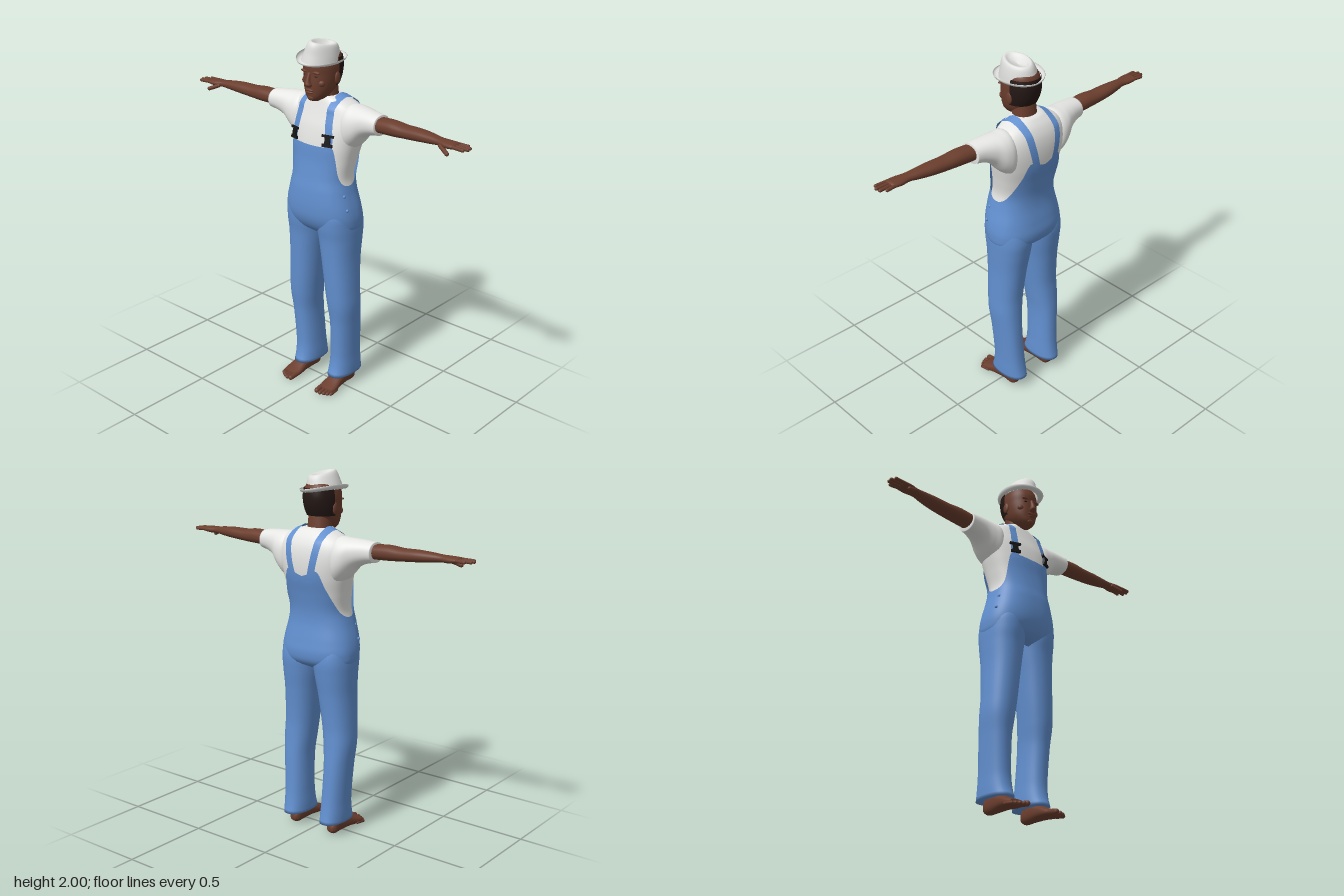
import * as THREE from 'three';
import { mergeVertices } from 'three/addons/utils/BufferGeometryUtils.js';

const paint = (name, color) => Object.assign(new THREE.MeshStandardMaterial({ color, side: THREE.DoubleSide }), { name });

// Smooth lookup in rows [t, a, b, ...]: returns the interpolated [a, b, ...]
function at(rows, t) {
  let i = 0;
  while (i < rows.length - 2 && t > rows[i + 1][0]) i++;
  const r0 = rows[i], r1 = rows[i + 1], rp = rows[Math.max(i - 1, 0)], rn = rows[Math.min(i + 2, rows.length - 1)];
  const h = r1[0] - r0[0], u = THREE.MathUtils.clamp((t - r0[0]) / h, 0, 1), u2 = u * u, u3 = u2 * u;
  return r0.slice(1).map((a, k) => {
    const b = r1[k + 1];
    const m0 = ((b - rp[k + 1]) / (r1[0] - rp[0])) * h, m1 = ((rn[k + 1] - a) / (rn[0] - r0[0])) * h;
    return (2 * u3 - 3 * u2 + 1) * a + (u3 - 2 * u2 + u) * m0 + (3 * u2 - 2 * u3) * b + (u3 - u2) * m1;
  });
}

// Smooth surface from a rule f(u, v); s = -1 mirrors it in x
function grid(f, nu, nv, s = 1) {
  const pos = [], idx = [];
  for (let j = 0; j <= nv; j++) for (let i = 0; i <= nu; i++) {
    const [x, y, z] = f(i / nu, j / nv);
    pos.push(x * s, y, z);
    if (i < nu && j < nv) {
      const a = j * (nu + 1) + i, b = a + 1, c = a + nu + 1, d = c + 1;
      idx.push(...(s > 0 ? [a, b, d, a, d, c] : [a, d, b, a, c, d]));
    }
  }
  let g = new THREE.BufferGeometry();
  g.setAttribute('position', new THREE.Float32BufferAttribute(pos, 3));
  g.setIndex(idx);
  g = mergeVertices(g, 1e-5);
  g.computeVertexNormals();
  return g;
}

// Point on a rounded cross-section; rows are [t, pMin, pMax, qMin, qMax]
function ring(rows, axis, angle, t, n, off = 0, shrink = 1) {
  const [p0, p1, q0, q1] = at(rows, t);
  const pw = (c) => Math.sign(c) * Math.pow(Math.abs(c), 2 / n);
  const p = (p0 + p1) / 2 + ((p1 - p0) / 2 + off) * shrink * pw(Math.cos(angle));
  const q = (q0 + q1) / 2 + ((q1 - q0) / 2 + off) * shrink * pw(Math.sin(angle));
  return axis === 'y' ? [q, t, p] : axis === 'x' ? [t, p, q] : [p, q, t];
}

// Closed loft along an axis
function loft(rows, axis, { n = 2.2, nu = 40, nv = 40, s = 1 } = {}) {
  const t0 = rows[0][0], t1 = rows[rows.length - 1][0];
  return grid((u, v) => {
    const k = Math.round(v * (nv + 2)) - 1;
    const end = k < 0 || k > nv;
    return ring(rows, axis, Math.round(u * nu) % nu / nu * Math.PI * 2, t0 + (t1 - t0) * THREE.MathUtils.clamp(k / nv, 0, 1), n, 0, end ? 0 : 1);
  }, nu, nv + 2, s);
}

// Torso cross-sections: y, back z, front z, x range
const wide = (y, zb, zf, w) => [y, zb, zf, -w, w];
const TORSO = [
  wide(0.94, -0.07, 0.05, 0.15), wide(0.975, -0.135, 0.095, 0.2), wide(1.03, -0.155, 0.125, 0.212),
  wide(1.1, -0.148, 0.135, 0.205), wide(1.2, -0.132, 0.13, 0.18), wide(1.27, -0.132, 0.118, 0.168),
  wide(1.36, -0.148, 0.105, 0.182), wide(1.45, -0.168, 0.098, 0.203), wide(1.54, -0.174, 0.082, 0.222),
  wide(1.61, -0.165, 0.06, 0.215), wide(1.66, -0.143, 0.045, 0.18), wide(1.685, -0.122, 0.038, 0.125),
  wide(1.705, -0.1, 0.03, 0.078)];
const TN = 2.4;
function torsoZ(x, y, front) {
  const [zb, zf, , w] = at(TORSO, y);
  const k = Math.pow(Math.max(0, 1 - Math.pow(Math.abs(x) / w, TN)), 1 / TN);
  return (zb + zf) / 2 + (front ? 1 : -1) * (zf - zb) / 2 * k;
}

export function createModel() {
  const model = new THREE.Group();
  model.name = 'man';
  const skin = paint('skin', 0x6b3e2e), denim = paint('denim', 0x6290d0), cotton = paint('cotton', 0xe6e6e4);
  const felt = paint('felt', 0xdededc), hair = paint('hair', 0x241815), black = paint('black', 0x161616);
  const add = (name, geo, mat, parent = model) => {
    const m = new THREE.Mesh(geo, mat);
    m.name = name;
    parent.add(m);
    return m;
  };
  const ball = (name, mat, p, r) => {
    const m = add(name, new THREE.SphereGeometry(1, 16, 12), mat);
    m.position.set(...p);
    m.scale.set(...r);
  };
  const rod = (name, mat, a, b, r) => {
    const A = new THREE.Vector3(...a), B = new THREE.Vector3(...b), d = B.clone().sub(A);
    const m = add(name, new THREE.CapsuleGeometry(r, d.length(), 6, 10), mat);
    m.position.copy(A).add(B).multiplyScalar(0.5);
    m.quaternion.setFromUnitVectors(new THREE.Vector3(0, 1, 0), d.normalize());
  };

  // Shirt body, and overalls that follow it up to a curved bib line
  add('shirtBody', loft(TORSO.slice(4), 'y', { n: TN, nu: 64 }), cotton);
  const bibLine = [[0, 1.45], [0.5, 1.453], [0.64, 1.45], [0.77, 1.4], [1.0, 1.31], [1.25, 1.255], [1.57, 1.235],
    [1.9, 1.26], [2.2, 1.32], [2.5, 1.4], [2.75, 1.49], [2.95, 1.48], [3.15, 1.46]];
  add('overallsBody', grid((u, v) => {
    const a = (u - 0.5) * Math.PI * 2, top = at(bibLine, Math.abs(a))[0];
    return ring(TORSO, 'y', a, 0.94 + (top - 0.94) * v, TN, 0.011);
  }, 96, 44), denim);

  // Neck and head
  add('neck', loft([wide(1.62, -0.09, 0.025, 0.068), wide(1.7, -0.085, 0.035, 0.065), wide(1.8, -0.075, 0.05, 0.06)], 'y'), skin);
  const HEAD = [wide(1.683, 0.035, 0.085, 0.02), wide(1.7, -0.01, 0.104, 0.045), wide(1.735, -0.055, 0.11, 0.07),
    wide(1.78, -0.085, 0.113, 0.083), wide(1.83, -0.102, 0.112, 0.089), wide(1.88, -0.105, 0.112, 0.089),
    wide(1.93, -0.09, 0.09, 0.075), wide(1.955, -0.05, 0.05, 0.04)];
  add('head', loft(HEAD, 'y'), skin);
  add('hair', grid((u, v) => {
    const a = 1.72 + u * (Math.PI * 2 - 3.44);
    return ring(HEAD, 'y', a, 1.765 + 0.145 * v, 2.2, 0.006);
  }, 32, 12), hair);
  add('nose', loft([[1.763, 0.1, 0.12, -0.012, 0.012], [1.775, 0.1, 0.138, -0.021, 0.021],
    [1.79, 0.1, 0.136, -0.014, 0.014], [1.84, 0.1, 0.117, -0.009, 0.009]], 'y', { nu: 16, nv: 12 }), skin);
  ball('upperLip', skin, [0, 1.748, 0.108], [0.028, 0.007, 0.012]);
  ball('lowerLip', skin, [0, 1.735, 0.106], [0.024, 0.007, 0.012]);
  ball('chin', skin, [0, 1.705, 0.092], [0.026, 0.018, 0.018]);

  // Hat, tipped to one side: crown with a dented top, and a curled brim
  const hat = new THREE.Group();
  hat.name = 'hat';
  hat.position.set(0, 1.895, 0.015);
  hat.rotation.z = -0.13;
  model.add(hat);
  const crown = [[0, -0.005, 0.092, 0.12], [0.25, 0.035, 0.083, 0.108], [0.5, 0.075, 0.07, 0.098], [0.62, 0.092, 0.06, 0.087],
    [0.7, 0.095, 0.05, 0.075], [0.82, 0.083, 0.03, 0.055], [1, 0.07, 0, 0]];
  add('hatCrown', grid((u, v) => {
    const a = u * Math.PI * 2, [y, rx, rz] = at(crown, v), z = rz * Math.cos(a);
    return [rx * Math.sin(a) * (1 - 1.6 * Math.max(0, z) * v), y + 0.2 * z * v - 0.006 * v, z];
  }, 48, 32), felt, hat);
  const brim = [[0, 0, 0], [0.4, 0.5, -0.002], [0.75, 0.9, 0.004], [0.9, 1, 0.012], [1, 0.96, 0.014]];
  add('hatBrim', grid((u, v) => {
    const a = -u * Math.PI * 2, [r, y] = at(brim, v);
    return [(0.088 + 0.026 * r) * Math.sin(a), y - 0.005 + 0.012 * r * Math.sin(a) ** 2 - 0.006 * r * Math.cos(a),
      (0.115 + 0.038 * r) * Math.cos(a)];
  }, 48, 10), felt, hat);

  for (const s of [1, -1]) {
    // Face and ear
    ball('eye', hair, [s * 0.036, 1.823, 0.1], [0.013, 0.005, 0.006]);
    ball('brow', skin, [s * 0.036, 1.843, 0.1], [0.028, 0.008, 0.012]);
    ball('cheek', skin, [s * 0.048, 1.785, 0.076], [0.027, 0.022, 0.02]);
    ball('ear', skin, [s * 0.091, 1.805, -0.008], [0.009, 0.032, 0.02]);

    // Sleeve and arm
    add('sleeve', loft([[0.13, 1.42, 1.655, -0.12, 0.035], [0.17, 1.42, 1.672, -0.148, 0.052], [0.215, 1.46, 1.67, -0.145, 0.048],
      [0.265, 1.515, 1.667, -0.12, 0.04], [0.32, 1.541, 1.662, -0.1, 0.037], [0.372, 1.551, 1.656, -0.088, 0.036]], 'x', { s }), cotton);
    add('arm', loft([[0.34, 1.568, 1.645, -0.075, 0.026], [0.45, 1.57, 1.65, -0.07, 0.03], [0.53, 1.575, 1.643, -0.066, 0.028],
      [0.62, 1.581, 1.643, -0.06, 0.027], [0.7, 1.588, 1.638, -0.046, 0.025], [0.755, 1.594, 1.632, -0.035, 0.026],
      [0.8, 1.593, 1.63, -0.04, 0.038], [0.845, 1.598, 1.628, -0.04, 0.04], [0.858, 1.603, 1.625, -0.036, 0.036]], 'x', { s, nu: 28 }), skin);
    [[-0.032, 0.895], [-0.012, 0.92], [0.01, 0.923], [0.031, 0.91]].forEach(([z, tip]) =>
      rod('finger', skin, [s * 0.84, 1.614, z * 0.95], [s * tip, 1.612, z * 1.1], 0.009));
    rod('thumb', skin, [s * 0.775, 1.603, 0.026], [s * 0.83, 1.58, 0.048], 0.011);

    // Trouser leg
    add('trouserLeg', loft([[0.072, -0.158, 0.082, 0.06, 0.195], [0.12, -0.148, 0.065, 0.06, 0.197], [0.2, -0.138, 0.056, 0.064, 0.198],
      [0.4, -0.125, 0.066, 0.068, 0.21], [0.52, -0.116, 0.082, 0.056, 0.22], [0.62, -0.113, 0.09, 0.044, 0.217], [0.8, -0.128, 0.1, 0.022, 0.212],
      [0.92, -0.145, 0.108, 0.003, 0.216], [1.0, -0.152, 0.12, -0.005, 0.218], [1.08, -0.135, 0.12, 0, 0.21],
      [1.14, -0.1, 0.09, 0.02, 0.17]], 'y', { s, n: 2.3, nv: 60 }), denim);

    // Ankle, foot and toes
    rod('ankle', skin, [s * 0.132, 0.05, -0.055], [s * 0.13, 0.16, -0.05], 0.036);
    add('foot', loft([[-0.105, 0.115, 0.15, 0.015, 0.045], [-0.085, 0.1, 0.165, 0, 0.08], [-0.03, 0.095, 0.168, 0, 0.098],
      [0.04, 0.09, 0.178, 0.003, 0.078], [0.1, 0.084, 0.188, 0.001, 0.05], [0.14, 0.088, 0.186, 0.004, 0.036]], 'z', { s, n: 2.4, nu: 28 }), skin);
    [[0.1, 0.17, 0.015], [0.125, 0.173, 0.011], [0.146, 0.165, 0.0105], [0.165, 0.155, 0.01], [0.181, 0.142, 0.0095]].forEach(([x, z, r]) =>
      rod('toe', skin, [s * x, r + 0.007, z - 0.05], [s * (x + 0.002), r + 0.001, z], r));

    // Strap laid over the shoulder, from the bib to the middle of the back
    const column = (k) => {
      const dx = (k - 0.5) * 0.042, pts = [];
      const spot = (x, y, front) => pts.push(new THREE.Vector3(x + dx, y, torsoZ(x + dx, y, front) + (front ? 0.015 : -0.015)));
      [[0.116, 1.43], [0.116, 1.5], [0.108, 1.56], [0.102, 1.62], [0.1, 1.655]].forEach(([x, y]) => spot(x, y, true));
      let y = 1.705;
      while (y > 1.6 && at(TORSO, y)[3] < 0.1 + dx) y -= 0.001;
      pts.push(new THREE.Vector3(0.1 + dx, y + 0.012, -0.045));
      [[0.097, 1.655], [0.092, 1.61], [0.078, 1.54], [0.06, 1.47], [0.045, 1.43]].forEach(([x, y]) => spot(x, y, false));
      return new THREE.CatmullRomCurve3(pts);
    };
    const columns = [0, 1, 2, 3, 4].map((i) => column(i / 4));
    add('strap', grid((u, v) => columns[Math.round(u * 4)].getPoint(v).toArray(), 4, 50, s), denim);

    // Buckle: a clip plate, two cross bars and a ring bar
    const buckle = new THREE.Group();
    buckle.name = 'buckle';
    buckle.position.set(s * 0.115, 1.49, torsoZ(0.115, 1.49, true) + 0.02);
    buckle.rotation.set(-0.12, s * 0.35, 0);
    model.add(buckle);
    [[0.066, 0.012, 0.028], [0.03, 0.04, 0], [0.056, 0.016, -0.022]].forEach(([w, h, y]) =>
      add('buckleBar', new THREE.BoxGeometry(w, h, 0.012), black, buckle).position.y = y);

    // Side buttons at the hip
    [1.185, 1.11].forEach((y) => ball('hipButton', denim, [s * (y > 1.15 ? 0.188 : 0.21), y, 0.045], [0.008, 0.009, 0.009]));
  }
  return model;
}
